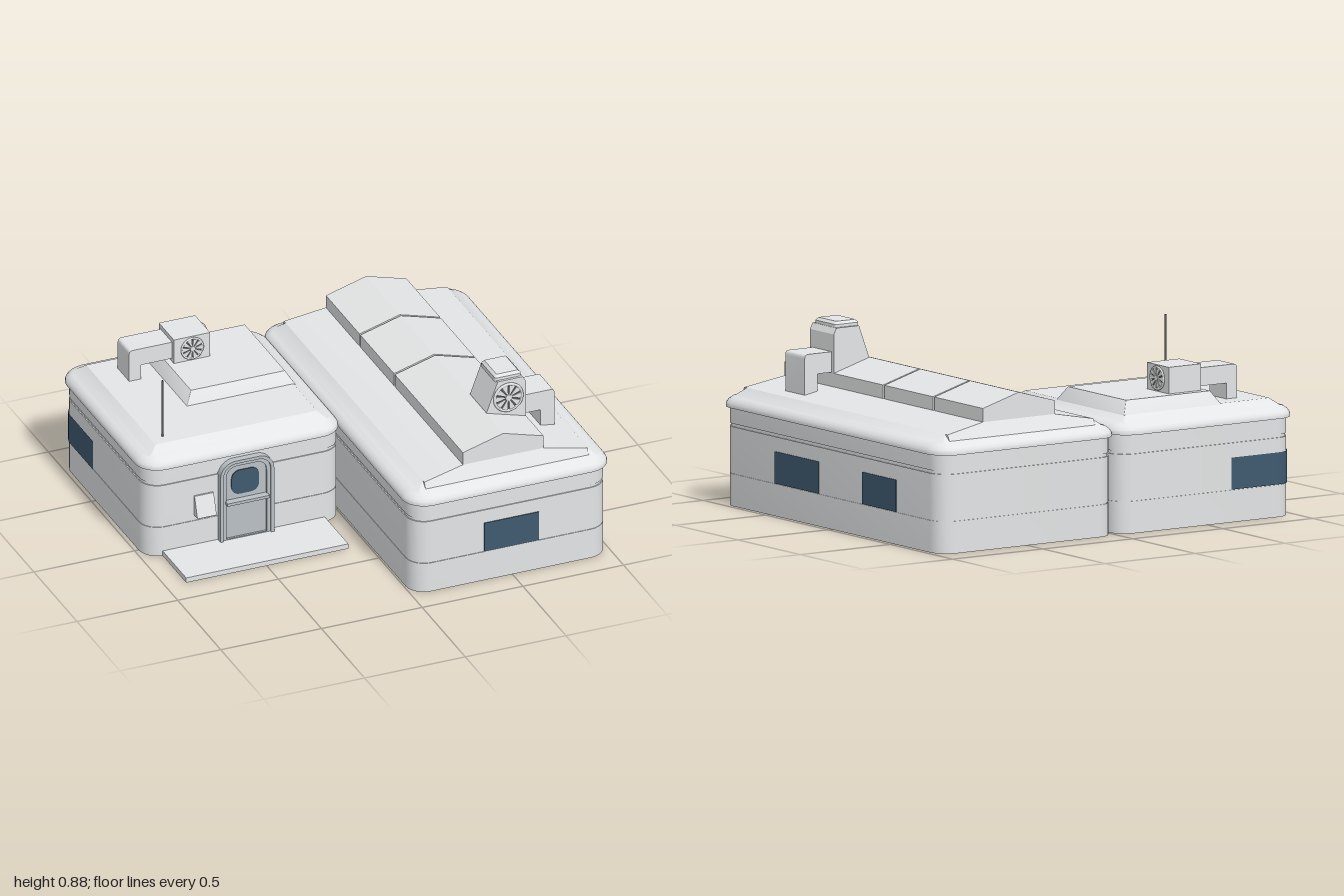
import * as THREE from 'three';
import { toCreasedNormals } from 'three/addons/utils/BufferGeometryUtils.js';

const material = (name, color, extra = {}) => {
  const m = new THREE.MeshStandardMaterial({ color, ...extra });
  m.name = name;
  return m;
};

export function createModel() {
  const shell = material('light grey shell', 0xe3e5e6);
  const doorGrey = material('door grey', 0xbac1c5);
  const glass = material('blue glass', 0x3f5970, { side: THREE.DoubleSide });
  const floorGrey = material('floor grey', 0x8e8c8a);
  const dark = material('dark grey', 0x5c5c5a);
  const root = new THREE.Group();

  const add = (name, geo, mat, parent = root) => {
    const mesh = new THREE.Mesh(geo, mat);
    mesh.name = name;
    parent.add(mesh);
    return mesh;
  };
  // Box given by its minimum and maximum corners
  const box = (name, mat, x0, x1, y0, y1, z0, z1) => {
    const m = add(name, new THREE.BoxGeometry(x1 - x0, y1 - y0, z1 - z0), mat);
    m.position.set((x0 + x1) / 2, (y0 + y1) / 2, (z0 + z1) / 2);
    return m;
  };
  // Outline in x and y, extruded from z0 to z1; bend may move the vertices
  const extrude = (name, mat, shape, z0, z1, bend) => {
    const geo = new THREE.ExtrudeGeometry(shape, { depth: z1 - z0, bevelEnabled: false, curveSegments: 6 });
    geo.translate(0, 0, z0);
    if (bend) bend(geo.attributes.position);
    return add(name, toCreasedNormals(geo, 0.28), mat);
  };
  const polygon = (pts) => new THREE.Shape(pts.map(([x, y]) => new THREE.Vector2(x, y)));

  // Closed solid from stacked rounded rectangles; each ring is [inset, y, corner radius]
  const stack = (name, mat, [x0, x1, z0, z1], rings) => {
    const seg = 6, n = 4 * (seg + 1), pos = [], idx = [];
    for (const [inset, y, r] of rings)
      for (let c = 0; c < 4; c++)
        for (let i = 0; i <= seg; i++) {
          const a = (c + i / seg) * Math.PI / 2;
          const cx = c === 0 || c === 3 ? x1 - inset - r : x0 + inset + r;
          const cz = c < 2 ? z1 - inset - r : z0 + inset + r;
          pos.push(cx + r * Math.cos(a), y, cz + r * Math.sin(a));
        }
    const last = rings.length - 1, bottom = n * rings.length, top = bottom + 1;
    for (const k of [0, last]) pos.push((x0 + x1) / 2, rings[k][1], (z0 + z1) / 2);
    for (let i = 0; i < n; i++) {
      const j = (i + 1) % n;
      for (let k = 0; k < last; k++) {
        const a = k * n + i, b = k * n + j;
        idx.push(a, a + n, b + n, a, b + n, b);
      }
      idx.push(bottom, i, j, top, last * n + j, last * n + i);
    }
    const geo = new THREE.BufferGeometry();
    geo.setAttribute('position', new THREE.Float32BufferAttribute(pos, 3));
    geo.setIndex(idx);
    return add(name, toCreasedNormals(geo, 0.47), mat);
  };

  // Two modules: grooved walls, floor and flared roof rim
  const wallRings = [
    [0.012, 0.02, 0.08], [0.012, 0, 0.08], [0, 0, 0.09], [0, 0.149, 0.09], [0.003, 0.149, 0.087],
    [0.003, 0.152, 0.087], [0, 0.152, 0.09], [0, 0.367, 0.09], [0.005, 0.367, 0.085],
    [0.005, 0.382, 0.085], [0, 0.382, 0.09], [0, 0.47, 0.09]];
  const roofRings = [
    [0.018, 0.457, 0.092], [0, 0.457, 0.11], [0, 0.466, 0.11], [0.002, 0.476, 0.108], [0.012, 0.49, 0.1],
    [0.03, 0.503, 0.08], [0.062, 0.509, 0.012], [0.1, 0.54, 0.003]];
  const modules = [
    ['small', [-0.98, -0.008, -0.878, 0.092], [-1, 0, -0.895, 0.11]],
    ['large', [0.008, 0.98, -0.878, 0.878], [-0.01, 1, -0.895, 0.895]]];
  for (const [size, wall, roof] of modules) {
    stack(size + 'Walls', shell, wall, wallRings);
    stack(size + 'Floor', floorGrey, wall, [[0.013, 0.004, 0.08], [0.013, 0.018, 0.08]]);
    stack(size + 'Roof', shell, roof, roofRings);
  }

  // Large roof: shallow pitch with sloping ends, and segmented raised ridge
  const pitch = polygon([[0.09, 0.509], [0.9, 0.509], [0.9, 0.54], [0.69, 0.577], [0.29, 0.577], [0.09, 0.54]]);
  extrude('roofPitch', shell, pitch, -0.795, 0.795, (p) => {
    for (let i = 0; i < p.count; i++) p.setZ(i, Math.sign(p.getZ(i)) * (0.795 + (0.577 - p.getY(i)) * 0.53));
  });
  const ridge = (d) => polygon([[0.29 + d, 0.56], [0.69 - d, 0.56], [0.69 - d, 0.64 - d], [0.49, 0.697 - d], [0.29 + d, 0.64 - d]]);
  for (const [z0, z1] of [[-0.795, -0.405], [-0.395, -0.005], [0.005, 0.795]])
    extrude('ridgeSection', shell, ridge(0), z0, z1);
  extrude('ridgeCore', shell, ridge(0.01), -0.78, 0.78);

  // Small roof: raised hatch platform
  stack('roofPlatform', shell, [-0.63, -0.09, -0.8, -0.26], [[0, 0.535, 0.002], [0.002, 0.54, 0.002], [0.037, 0.597, 0.002]]);

  // Fan with rim, dark recess, blades and hub, facing +z
  const fan = (name, r, x, y, z, turn = 0) => {
    const g = new THREE.Group();
    g.name = name;
    add('fanRecess', new THREE.CircleGeometry(r, 32), dark, g).position.z = 0.003;
    add('fanRim', new THREE.TorusGeometry(r, r * 0.1, 8, 32), shell, g).position.z = 0.006;
    const w = 0.24;
    const blade = new THREE.ExtrudeGeometry(polygon([
      [r * 0.25, -r * 0.05], [r * 0.93 * Math.cos(w), -r * 0.93 * Math.sin(w)],
      [r * 0.95, 0], [r * 0.93 * Math.cos(w), r * 0.93 * Math.sin(w)], [r * 0.25, r * 0.05]]),
    { depth: 0.004, bevelEnabled: false });
    for (let i = 0; i < 10; i++) {
      const b = add('fanBlade', blade, shell, g);
      b.rotation.z = i * Math.PI / 5;
      b.position.z = 0.006;
    }
    const hub = add('fanHub', new THREE.CylinderGeometry(r * 0.24, r * 0.24, 0.012, 16), shell, g);
    hub.rotation.x = Math.PI / 2;
    hub.position.z = 0.007;
    g.position.set(x, y, z);
    g.rotation.y = turn;
    root.add(g);
  };

  // Bent duct: leg at x0, running along dir to x1
  const duct = (name, x0, x1, dir, y0, y1, leg, thick, z0, z1) => {
    const s = new THREE.Shape(), c = 0.02;
    s.moveTo(x0, y0);
    s.lineTo(x0, y1 - c);
    s.quadraticCurveTo(x0, y1, x0 + dir * c, y1);
    s.lineTo(x1, y1);
    s.lineTo(x1, y1 - thick);
    s.lineTo(x0 + dir * leg, y1 - thick);
    s.lineTo(x0 + dir * leg, y0);
    extrude(name, shell, s, z0, z1);
  };

  // Small roof air unit
  box('airUnit', shell, -0.567, -0.387, 0.59, 0.72, -0.73, -0.556);
  duct('airUnitDuct', -0.78, -0.56, 1, 0.53, 0.698, 0.06, 0.085, -0.71, -0.577);
  fan('airUnitFrontFan', 0.052, -0.478, 0.66, -0.556);
  fan('airUnitSideFan', 0.052, -0.387, 0.66, -0.645, Math.PI / 2);

  // Ventilation tower on the ridge
  extrude('ventTower', shell, polygon([[0.49, 0.6], [0.69, 0.6], [0.69, 0.82], [0.675, 0.848], [0.55, 0.848], [0.495, 0.7]]), 0.4, 0.592);
  stack('ventCap', shell, [0.542, 0.672, 0.412, 0.58], [[0, 0.84, 0.01], [0, 0.862, 0.01], [0.012, 0.875, 0.005]]);
  duct('ventDuct', 0.84, 0.68, -1, 0.53, 0.738, 0.07, 0.095, 0.417, 0.572);
  fan('ventFan', 0.068, 0.6, 0.76, 0.592);

  // Antenna
  add('antenna', new THREE.CylinderGeometry(0.005, 0.006, 0.295, 8), dark).position.set(-0.84, 0.683, -0.05);

  // Doorway: arched frame, leaf, window and bar
  const arch = (w, y0, y1, r, Type = THREE.Shape) => {
    const s = new Type(), cx = -0.493;
    s.moveTo(cx - w, y0);
    s.lineTo(cx + w, y0);
    s.lineTo(cx + w, y1 - r);
    s.absarc(cx + w - r, y1 - r, r, 0, Math.PI / 2);
    s.absarc(cx - w + r, y1 - r, r, Math.PI / 2, Math.PI);
    s.closePath();
    return s;
  };
  const outer = arch(0.133, 0.01, 0.435, 0.075);
  outer.holes.push(arch(0.118, 0.02, 0.42, 0.062, THREE.Path));
  extrude('doorFrame', doorGrey, outer, 0.08, 0.125);
  const inner = arch(0.118, 0.015, 0.42, 0.062);
  inner.holes.push(arch(0.1, 0.03, 0.402, 0.05, THREE.Path));
  extrude('doorInnerFrame', doorGrey, inner, 0.08, 0.115);
  extrude('doorLeaf', doorGrey, arch(0.1, 0.03, 0.402, 0.05), 0.08, 0.105);
  const pane = stack('doorWindow', glass, [-0.068, 0.068, -0.062, 0.062], [[0, 0, 0.04], [0, 0.006, 0.04]]);
  pane.rotation.x = Math.PI / 2;
  pane.position.set(-0.497, 0.313, 0.104);
  box('doorBar', doorGrey, -0.598, -0.388, 0.214, 0.228, 0.1, 0.14);

  // Tilted control panel, deeper at its foot
  extrude('doorControlPanel', shell, polygon([[-0.745, 0.18], [-0.65, 0.18], [-0.65, 0.28], [-0.745, 0.28]]), 0.08, 0.135, (p) => {
    for (let i = 0; i < p.count; i++) if (p.getZ(i) > 0.1 && p.getY(i) > 0.2) p.setZ(i, 0.1);
  });
  box('entryPlatform', shell, -0.9, -0.095, 0, 0.025, 0.07, 0.365);

  // Flat windows
  box('frontWindow', glass, 0.36, 0.63, 0.152, 0.3, 0.876, 0.882);
  for (const [z0, z1] of [[0.1, 0.45], [-0.52, -0.25]])
    box('sideWindow', glass, 0.978, 0.984, 0.152, 0.3, z0, z1);

  // Window wrapping the back corner of the small module
  const path = [[-0.63, -0.882]];
  for (let i = 0; i <= 8; i++) {
    const a = i / 8 * Math.PI / 2;
    path.push([-0.89 - 0.094 * Math.sin(a), -0.788 - 0.094 * Math.cos(a)]);
  }
  path.push([-0.984, -0.52]);
  const strip = new THREE.PlaneGeometry(1, 0.148, path.length - 1, 1).translate(0, 0.226, 0);
  const p = strip.attributes.position;
  for (let i = 0; i < p.count; i++) {
    const [x, z] = path[i % path.length];
    p.setXYZ(i, x, p.getY(i), z);
  }
  strip.computeVertexNormals();
  add('cornerWindow', strip, glass);

  return root;
}
